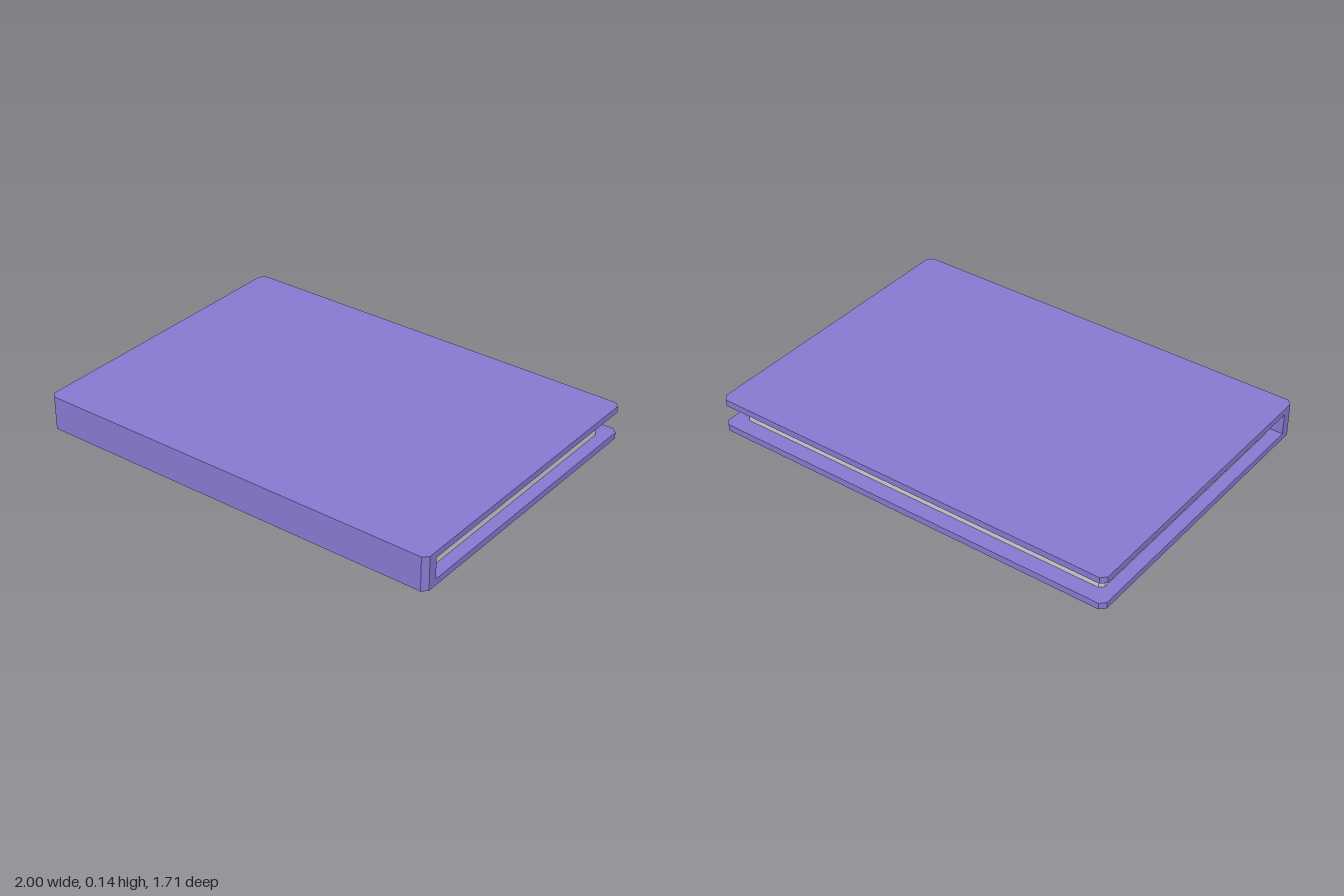
import * as THREE from 'three';

// Flat slab with optionally chamfered corners: half-length u, depth from v0 (back) to v1 (front)
function slab(name, material, u, v0, v1, y0, y1, backCut, frontCut) {
  const pts = [
    [-u + backCut, v0], [u - backCut, v0], [u, v0 + backCut],
    [u, v1 - frontCut], [u - frontCut, v1], [-u + frontCut, v1],
    [-u, v1 - frontCut], [-u, v0 + backCut],
  ].map(([x, y]) => new THREE.Vector2(x, y));
  const outline = pts.filter((p, i) => p.distanceTo(pts[(i + 1) % pts.length]) > 1e-6);
  const geometry = new THREE.ExtrudeGeometry(new THREE.Shape(outline), {
    depth: y1 - y0, bevelEnabled: false,
  });
  geometry.rotateX(Math.PI / 2).translate(0, y1, 0);
  const mesh = new THREE.Mesh(geometry, material);
  mesh.name = name;
  return mesh;
}

export function createModel() {
  const coverMat = new THREE.MeshStandardMaterial({ color: 0x8878d0, flatShading: true });
  const paperMat = new THREE.MeshStandardMaterial({ color: 0xcccccc, flatShading: true });

  const H = 0.138, board = 0.026, U = 0.85, V = 0.615, cut = 0.02, spineV = 0.557;

  const book = new THREE.Group();
  book.name = 'book';

  // Two cover boards joined by the spine along the front edge
  book.add(
    slab('bottomCover', coverMat, U, -V, V, 0, board, cut, cut),
    slab('topCover', coverMat, U, -V, V, H - board, H, cut, cut),
    slab('spine', coverMat, U, spineV, V, board, H - board, 0, cut),
  );

  // Page block, set in from the open edges
  book.add(slab('pages', paperMat, 0.8, -0.55, 0.54, board, H - board, 0.016, 0.016));

  // The book lies turned on the ground
  book.rotation.y = -0.34;

  const model = new THREE.Group();
  model.name = 'closedBook';
  model.add(book);
  return model;
}
